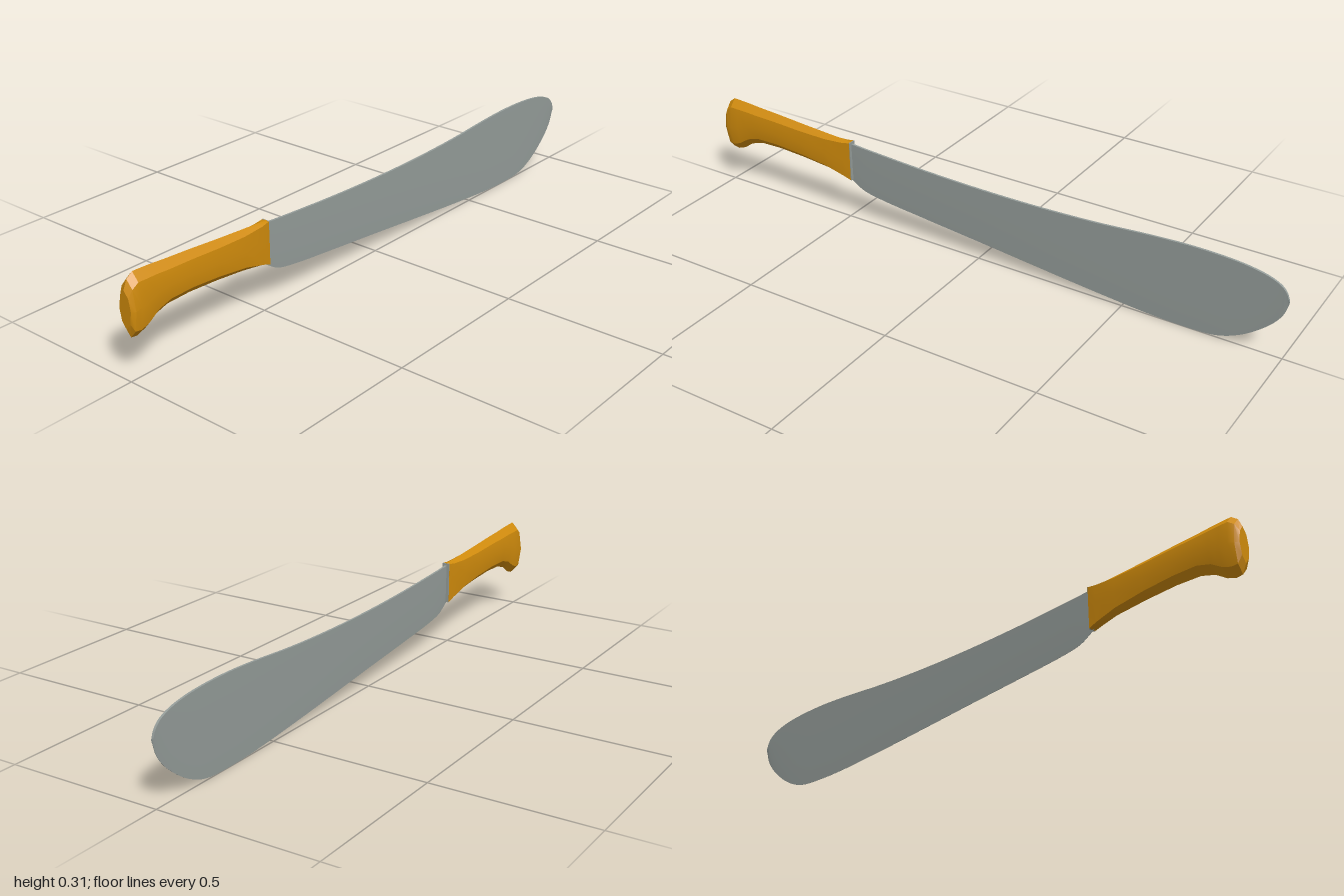
import * as THREE from 'three';
import { toCreasedNormals } from 'three/addons/utils/BufferGeometryUtils.js';

// Skin a list of closed rings (top -> +z side -> bottom -> -z side) running along +x
function loft(rings, crease) {
  const pos = [];
  const tri = (...pts) => pts.forEach((p) => pos.push(...p));
  const n = rings[0].length;
  const centre = (ring) => [0, 1, 2].map((k) => ring.reduce((s, p) => s + p[k], 0) / n);
  const first = rings[0], last = rings[rings.length - 1];
  const c0 = centre(first), c1 = centre(last);
  for (let j = 0; j < n; j++) {
    const k = (j + 1) % n;
    for (let i = 0; i < rings.length - 1; i++) {
      const a = rings[i], b = rings[i + 1];
      tri(a[j], a[k], b[k], a[j], b[k], b[j]);
    }
    tri(c0, first[k], first[j], c1, last[j], last[k]);
  }
  const geo = new THREE.BufferGeometry();
  geo.setAttribute('position', new THREE.Float32BufferAttribute(pos, 3));
  return toCreasedNormals(geo, crease);
}

// Mirror a half section [y, z] across z = 0; points with z = 0 are shared
function ring(x, half) {
  const back = half.filter((p) => p[1] > 0).reverse().map(([y, z]) => [y, -z]);
  return [...half, ...back].map(([y, z]) => [x, y, z]);
}

// Blade stations: x, spine height, edge height
const BLADE = [
  [-0.5, 0.272, 0.15], [-0.475, 0.27, 0.133], [-0.44, 0.267, 0.113], [-0.38, 0.263, 0.1],
  [-0.2, 0.253, 0.08], [0, 0.247, 0.06], [0.2, 0.247, 0.039], [0.4, 0.254, 0.019],
  [0.58, 0.267, 0.004], [0.7, 0.272, 0], [0.8, 0.27, 0.006], [0.87, 0.264, 0.033],
  [0.93, 0.252, 0.075], [0.97, 0.235, 0.115], [0.99, 0.215, 0.147], [1, 0.19, 0.18],
];

function bladeGeometry() {
  const curve = new THREE.CatmullRomCurve3(BLADE.map((p) => new THREE.Vector3(...p)));
  const steps = (BLADE.length - 1) * 4;
  const rings = [];
  for (let i = 0; i <= steps; i++) {
    const { x, y: top, z: bottom } = curve.getPoint(i / steps);
    const h = top - bottom;
    rings.push(ring(x, [[top, 0.0035], [bottom + h * 0.3, 0.0025], [bottom, 0.0005]]));
  }
  return loft(rings, 0.6);
}

// Handle stations: x, top, bottom, half width, bevel height, bevel width ratio
const HANDLE = [
  [-1, 0.268, 0.155, 0.022, 0.02, 0.7],
  [-0.988, 0.295, 0.127, 0.029, 0.024, 0.7],
  [-0.968, 0.31, 0.124, 0.031, 0.025, 0.7],
  [-0.94, 0.309, 0.134, 0.03, 0.025, 0.72],
  [-0.905, 0.307, 0.158, 0.028, 0.024, 0.74],
  [-0.86, 0.303, 0.172, 0.027, 0.023, 0.76],
  [-0.78, 0.298, 0.174, 0.025, 0.021, 0.78],
  [-0.68, 0.29, 0.168, 0.023, 0.019, 0.8],
  [-0.58, 0.283, 0.158, 0.02, 0.015, 0.84],
  [-0.51, 0.279, 0.147, 0.016, 0.007, 0.92],
  [-0.482, 0.278, 0.143, 0.013, 0.001, 0.98],
];

function handleGeometry() {
  const rings = HANDLE.map(([x, top, bottom, w, bevel, ratio]) => ring(x, [
    [top, 0], [top - bevel, w * ratio], [(top + bottom) / 2, w],
    [bottom + bevel, w * ratio], [bottom, 0],
  ]));
  return loft(rings, 0.45);
}

export function createModel() {
  const model = new THREE.Group();
  model.name = 'machete';
  const steel = new THREE.MeshStandardMaterial({ color: 0x959d9a });
  const wood = new THREE.MeshStandardMaterial({ color: 0xd08b0c });

  const add = (name, geometry, material) => {
    const mesh = new THREE.Mesh(geometry, material);
    mesh.name = name;
    model.add(mesh);
    return mesh;
  };

  add('blade', bladeGeometry(), steel);
  add('handle', handleGeometry(), wood);

  // Thin steel plate closing the front of the handle
  add('handleEndPlate', new THREE.BoxGeometry(0.004, 0.134, 0.025), steel).position.set(-0.4815, 0.2105, 0);

  return model;
}
